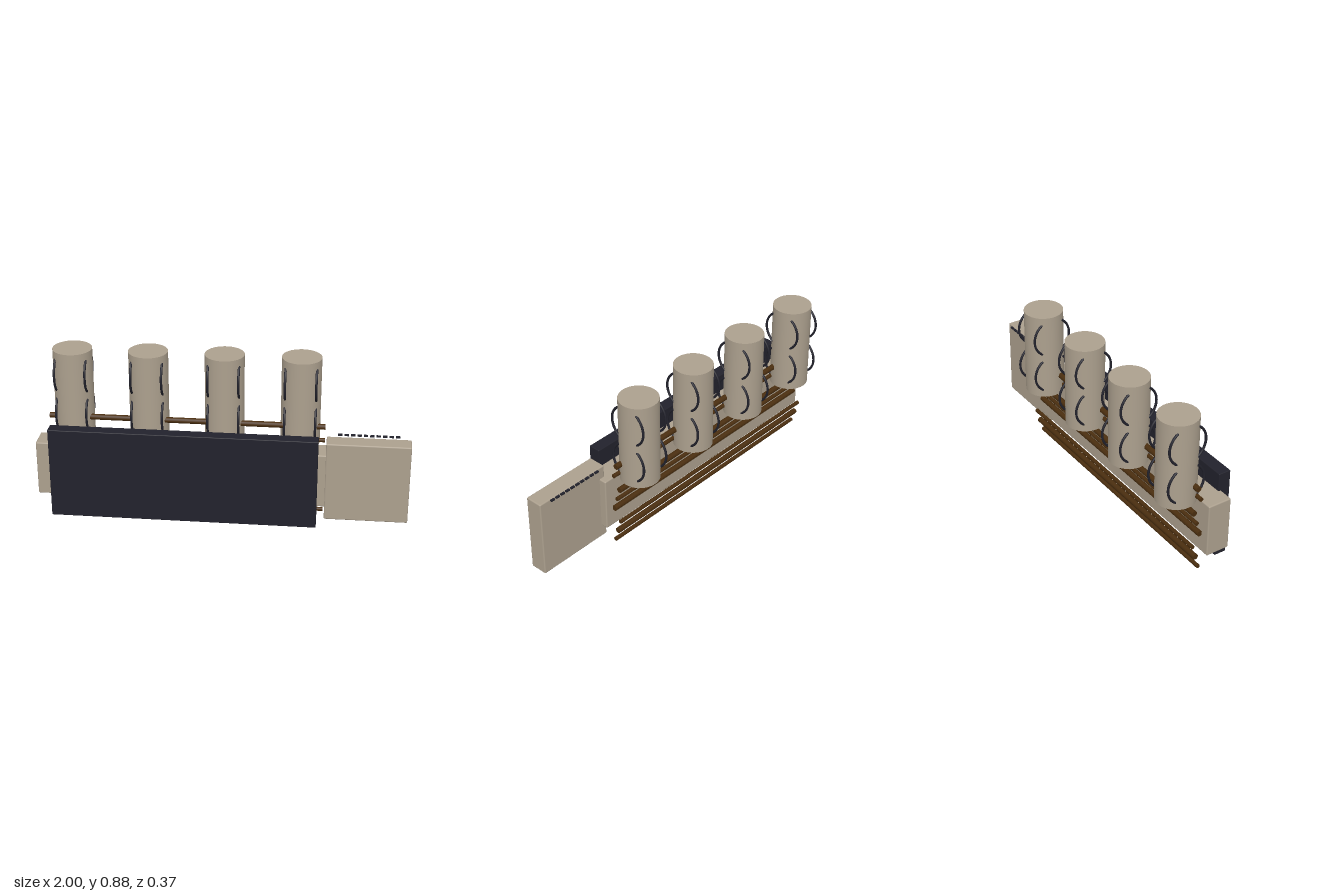
import * as THREE from 'three';
import { RoundedBoxGeometry } from 'three/addons/geometries/RoundedBoxGeometry.js';

const material = (name, color) => {
  const m = new THREE.MeshStandardMaterial({ color });
  m.name = name;
  return m;
};

export function createModel() {
  const beige = material('warm grey', 0xaca08e);
  const navy = material('dark navy', 0x22222c);
  const brown = material('dark brown', 0x4a2e0f);
  const model = new THREE.Group();

  const add = (parent, name, geometry, mat, x = 0, y = 0, z = 0) => {
    const mesh = new THREE.Mesh(geometry, mat);
    mesh.name = name;
    mesh.position.set(x, y, z);
    parent.add(mesh);
    return mesh;
  };

  // Softly edged box given by its extents on each axis
  const block = (name, mat, [x0, x1], [y0, y1], [z0, z1], radius) =>
    add(model, name, new RoundedBoxGeometry(x1 - x0, y1 - y0, z1 - z0, 2, radius), mat,
      (x0 + x1) / 2, (y0 + y1) / 2, (z0 + z1) / 2);

  block('frontPanel', navy, [-0.92, 0.51], [0.004, 0.512], [0.119, 0.188], 0.004);
  block('mainBody', beige, [-1, 0.586], [0.106, 0.41], [0.002, 0.136], 0.007);
  block('sideBox', beige, [0.55, 0.995], [0.034, 0.481], [0.043, 0.141], 0.007);

  // Row of small dashes along the top rear edge of the side box
  const dashGeometry = new THREE.BoxGeometry(0.023, 0.008, 0.012);
  for (let i = 0; i < 10; i++) {
    add(model, 'dash', dashGeometry, navy, 0.62 + i * 0.0338, 0.485, 0.027);
  }

  // Long rods behind the body: thick and thin alternate, depth cycles
  const depths = [-0.03, -0.01, -0.05];
  for (let i = 0; i < 8; i++) {
    const r = i % 2 ? 0.011 : 0.0155;
    const rod = add(model, 'rod', new THREE.CylinderGeometry(r, r, 1.49, 16), brown,
      -0.206, 0.5 - i * 0.0697, depths[i % 3]);
    rod.rotation.z = Math.PI / 2;
  }

  // Upright canisters with curved straps at the front and back
  const bodyGeometry = new THREE.CylinderGeometry(0.106, 0.106, 0.489, 40);
  const arcRadius = 0.108, halfAngle = 0.95, tube = 0.0065;
  const arcGeometry = new THREE.TorusGeometry(arcRadius, tube, 8, 24, halfAngle * 2);
  arcGeometry.rotateZ(-halfAngle);
  const tipGeometry = new THREE.SphereGeometry(tube, 8, 6);
  for (const x of [-0.82, -0.412, -0.004, 0.404]) {
    const canister = new THREE.Group();
    canister.name = 'canister';
    canister.position.set(x, 0, -0.071);
    model.add(canister);
    add(canister, 'canisterBody', bodyGeometry, beige, 0, 0.6355, 0);
    for (const y of [0.747, 0.522]) {
      for (const dx of [-0.082, 0.082]) {
        for (const side of [1, -1]) {
          const strap = add(canister, 'strap', arcGeometry, navy, dx, y, side * (0.108 - arcRadius));
          strap.rotation.y = -side * Math.PI / 2;
          for (const end of [1, -1]) {
            add(strap, 'strapTip', tipGeometry, navy,
              arcRadius * Math.cos(halfAngle), end * arcRadius * Math.sin(halfAngle), 0);
          }
        }
      }
    }
  }
  return model;
}
